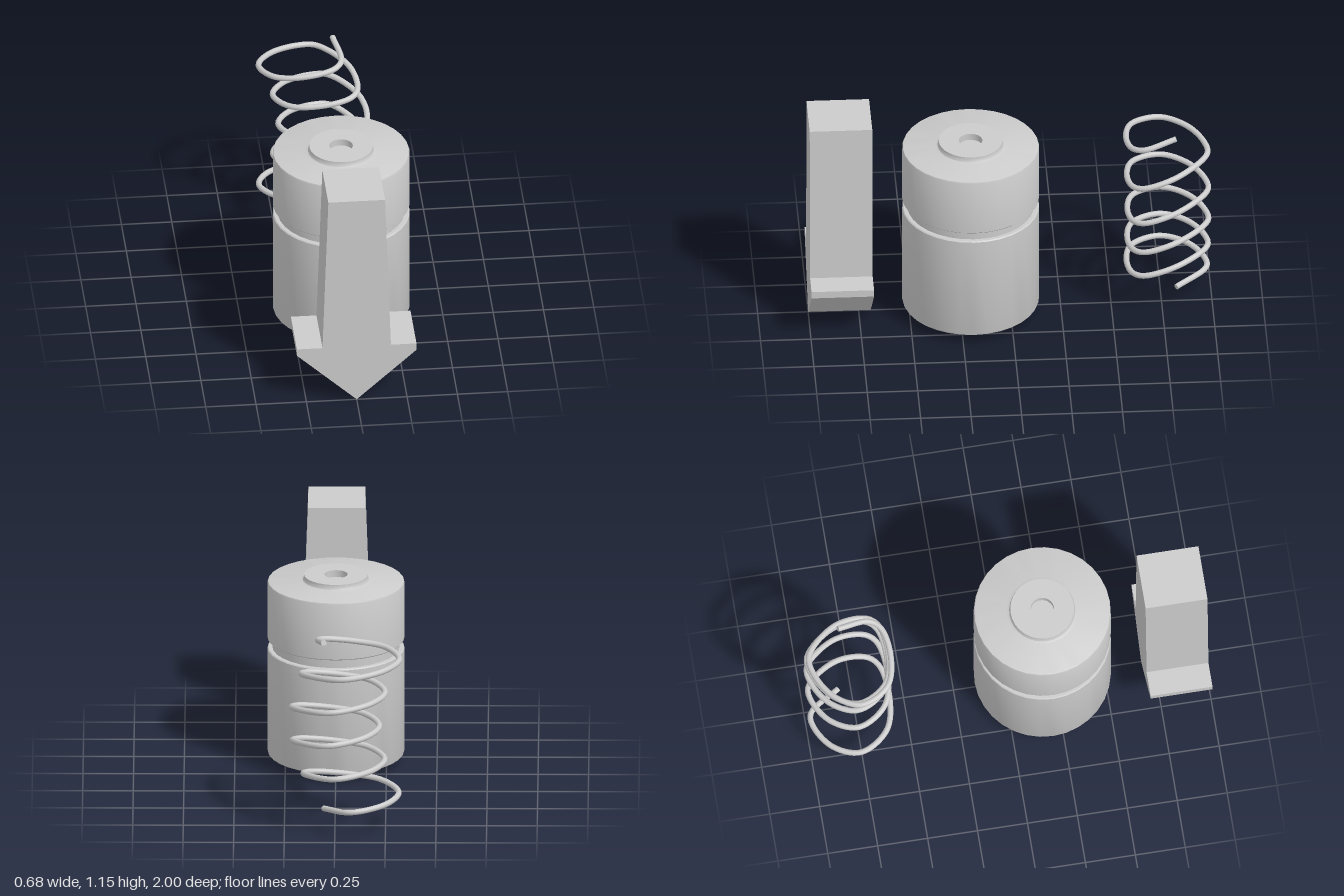
import * as THREE from 'three';
import { toCreasedNormals } from 'three/addons/utils/BufferGeometryUtils.js';

const material = new THREE.MeshStandardMaterial({ color: 0xcccccc });

function addMesh(parent, name, geometry) {
  const mesh = new THREE.Mesh(geometry, material);
  mesh.name = name;
  parent.add(mesh);
  return mesh;
}

// Turned canister: stepped foot, groove, raised collar and blind hole
function canisterGeometry() {
  const profile = [
    [0, 0.022], [0.235, 0.022], [0.235, 0.04], [0.245, 0.046],
    [0.325, 0.046], [0.335, 0.05], [0.339, 0.06],
    [0.339, 0.595], [0.334, 0.6], [0.315, 0.6],
    [0.315, 0.647], [0.334, 0.647], [0.339, 0.652],
    [0.339, 0.94], [0.336, 0.947], [0.328, 0.95],
    [0.178, 0.95], [0.164, 0.955], [0.158, 0.965], [0.158, 0.98],
    [0.058, 0.98], [0.058, 0.945], [0, 0.945],
  ].map(([r, y]) => new THREE.Vector2(r, y));
  return toCreasedNormals(new THREE.LatheGeometry(profile, 32), 0.6);
}

// Arrow-shaped block, pointing down
function arrowGeometry() {
  const outline = [
    [0, 0], [0.297, 0.27], [0.297, 0.307], [0.17, 0.307],
    [0.141, 1.15], [-0.141, 1.15], [-0.17, 0.307], [-0.297, 0.307], [-0.297, 0.27],
  ].map(([x, y]) => new THREE.Vector2(x, y));
  return new THREE.ExtrudeGeometry(new THREE.Shape(outline), { depth: 0.31, bevelEnabled: false });
}

// Bowed, slightly angular coil: one turn repeated upward
function springCurve() {
  const turns = 5, pitch = 0.174, bow = 0.14;
  // x, z, rise within the turn, fraction of the turn
  const loop = [
    [0.055, -0.82, 0, 0], [-0.08, -0.975, 0.034, 0.18], [-0.17, -0.97, 0.042, 0.27],
    [-0.3, -0.89, 0.054, 0.4], [-0.36, -0.76, 0.066, 0.52], [-0.28, -0.62, 0.081, 0.64],
    [-0.13, -0.58, 0.096, 0.74], [0.03, -0.605, 0.118, 0.85], [0.075, -0.66, 0.132, 0.9],
  ];
  const points = [];
  for (let i = 0; i <= turns; i++) {
    for (const [x, z, rise, part] of i < turns ? loop : loop.slice(0, 1)) {
      const shift = bow * Math.sin(Math.PI * (i + part) / turns);
      points.push(new THREE.Vector3(x + shift, 0.115 + i * pitch + rise, z));
    }
  }
  return new THREE.CatmullRomCurve3(points, false, 'centripetal');
}

export function createModel() {
  const model = new THREE.Group();

  addMesh(model, 'canister', canisterGeometry()).position.z = 0.195;
  addMesh(model, 'arrowBlock', arrowGeometry()).position.z = 0.69;

  const spring = new THREE.Group();
  spring.name = 'spring';
  model.add(spring);
  const curve = springCurve();
  const wire = 0.0145;
  addMesh(spring, 'springWire', new THREE.TubeGeometry(curve, 300, wire, 12));
  // Flat wire ends
  for (const t of [0, 1]) {
    const cap = addMesh(spring, t ? 'topWireEnd' : 'bottomWireEnd', new THREE.CircleGeometry(wire, 12));
    const point = curve.getPointAt(t);
    cap.position.copy(point);
    cap.lookAt(point.clone().addScaledVector(curve.getTangentAt(t), t ? 1 : -1));
  }
  return model;
}
